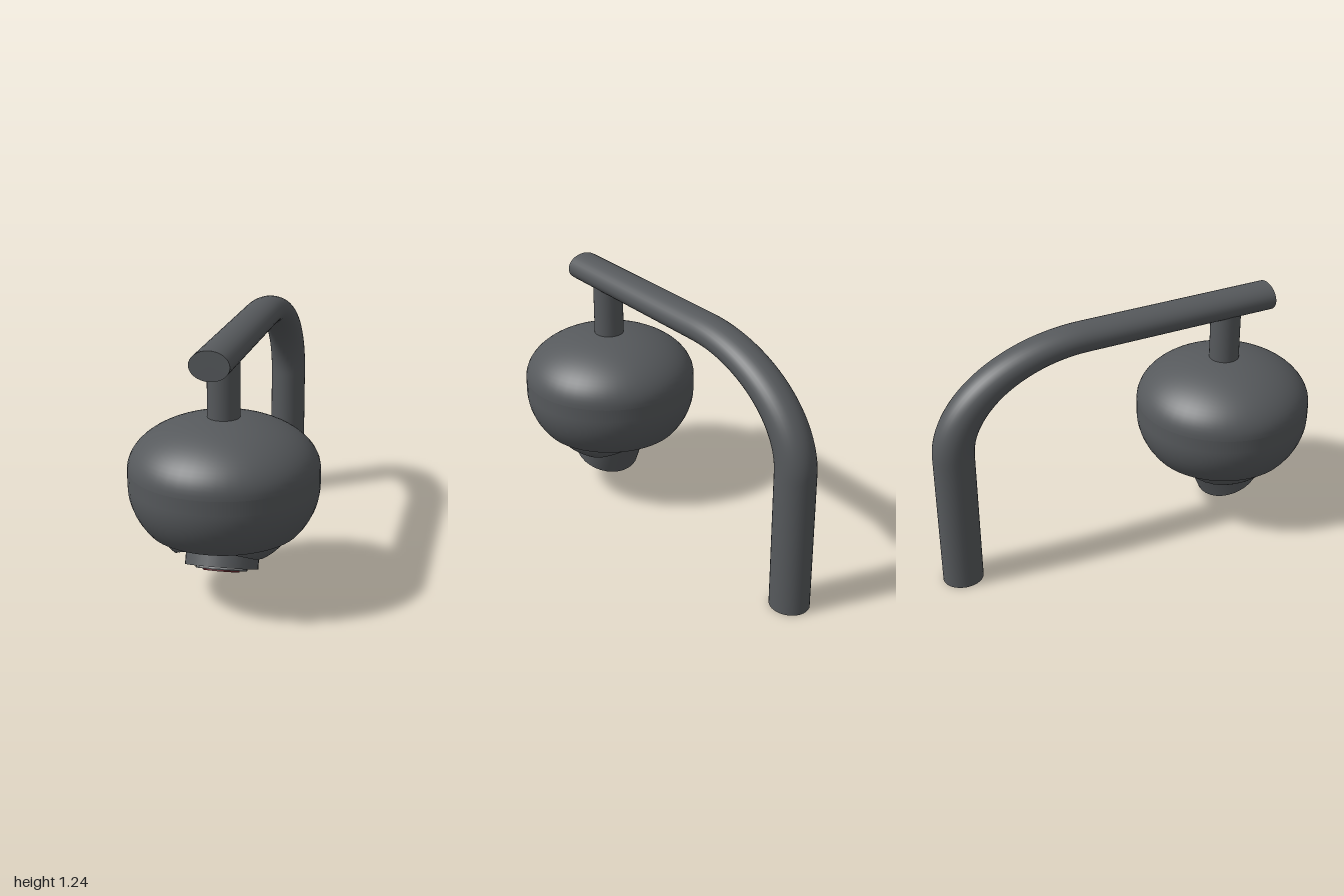
import * as THREE from 'three';
import { toCreasedNormals } from 'three/addons/utils/BufferGeometryUtils.js';
import { ParametricGeometry } from 'three/addons/geometries/ParametricGeometry.js';

const V = (x, y, z) => new THREE.Vector3(x, y, z);
const dark = new THREE.MeshStandardMaterial({ color: 0x56595c });
const darkDouble = new THREE.MeshStandardMaterial({ color: 0x56595c, side: THREE.DoubleSide });
const light = new THREE.MeshStandardMaterial({ color: 0xcccccc });
const red = new THREE.MeshStandardMaterial({ color: 0x5a2026 });

function add(parent, name, geometry, material, x = 0, y = 0, z = 0) {
  const mesh = new THREE.Mesh(geometry, material);
  mesh.name = name;
  mesh.position.set(x, y, z);
  parent.add(mesh);
  return mesh;
}

// Bent pipe: post, quarter bend and horizontal arm, squashed in height
function buildPipe() {
  const pipe = new THREE.Group();
  pipe.name = 'mountingPipe';
  const r = 0.1, bend = 0.68, k = 0.5523 * bend, knee = 1.014, top = knee + bend;
  const post = -0.9, end = 0.79;
  const foot = V(0, 0, post), elbow = V(0, knee, post);
  const armStart = V(0, top, post + bend), armEnd = V(0, top, end);
  const path = new THREE.CurvePath();
  path.add(new THREE.LineCurve3(foot, elbow));
  path.add(new THREE.CubicBezierCurve3(elbow, V(0, knee + k, post), V(0, top, post + bend - k), armStart));
  path.add(new THREE.LineCurve3(armStart, armEnd));
  add(pipe, 'pipeTube', new THREE.TubeGeometry(path, 90, r, 32), dark);
  const cap = new THREE.CircleGeometry(r, 32);
  add(pipe, 'pipeFootCap', cap, dark, 0, 0, post).rotation.x = Math.PI / 2;
  add(pipe, 'pipeFrontCap', cap, dark, 0, top, end);
  pipe.scale.set(0.925, 0.69, 1);
  // The arm runs slightly across the model
  pipe.rotation.y = -0.034;
  pipe.position.x = 0.015;
  return pipe;
}

// Housing profile: upper shell, band, lower shell with a flat underside
function buildHousing(parent) {
  const R = 0.44, seg = 48, n = 20;
  const arc = (y, h, a0, a1) => Array.from({ length: n + 1 }, (_, i) => {
    const a = a0 + (a1 - a0) * i / n;
    return new THREE.Vector2(Math.max(0, R * Math.cos(a)), y + h * Math.sin(a));
  });
  add(parent, 'upperShell', new THREE.LatheGeometry(arc(0.637, 0.243, 0, Math.PI / 2), seg), dark);
  add(parent, 'middleBand', new THREE.CylinderGeometry(R, R, 0.07, seg, 1, true), dark, 0, 0.602);
  add(parent, 'lowerShell', new THREE.LatheGeometry(arc(0.567, 0.362, -0.632, 0), seg), dark);
  add(parent, 'underside', new THREE.CircleGeometry(0.355, seg), dark, 0, 0.353).rotation.x = Math.PI / 2;
}

// Shallow dome under the housing with an arched channel from front to back
function buildDome(parent) {
  const R = 0.3, depth = 0.165, y0 = 0.353, channel = 0.2;
  const dome = (u, v, p) => {
    const a = (u - 0.5) * Math.PI, b = (v - 0.5) * Math.PI;
    const x = R * Math.sin(a), z = R * Math.cos(a) * Math.sin(b);
    let y = y0 - depth * Math.cos(a) * Math.cos(b);
    if (Math.abs(x) < channel) y = Math.max(y, 0.225 + 0.12 * Math.sqrt(1 - (x / channel) ** 2));
    p.set(x, Math.min(y, y0), z);
  };
  const geometry = toCreasedNormals(new ParametricGeometry(dome, 64, 64), 0.5);
  add(parent, 'lensDome', geometry, darkDouble);
}

// Tilted lens barrel with stepped rings; local -y points out of the lens
function buildLens() {
  const lens = new THREE.Group();
  lens.name = 'lens';
  const disc = (name, r, from, to, material) =>
    add(lens, name, new THREE.CylinderGeometry(r, r, to - from, 32), material, 0, -(from + to) / 2);
  disc('lensBarrel', 0.17, -0.2, 0, dark);
  disc('lensTrim', 0.122, -0.01, 0.004, light);
  disc('lensRing', 0.12, 0.004, 0.012, dark);
  disc('lensGlass', 0.085, 0, 0.02, red);
  lens.position.set(-0.003, 0.163, 0.053);
  lens.rotation.x = -0.405;
  return lens;
}

export function createModel() {
  const model = new THREE.Group();
  model.name = 'hangingCamera';
  model.add(buildPipe());

  const head = new THREE.Group();
  head.name = 'cameraHead';
  head.position.z = 0.56;
  add(head, 'hangerStem', new THREE.CylinderGeometry(0.075, 0.075, 0.28, 32), dark, 0, 1.0);
  buildHousing(head);
  buildDome(head);
  head.add(buildLens());
  model.add(head);
  return model;
}
